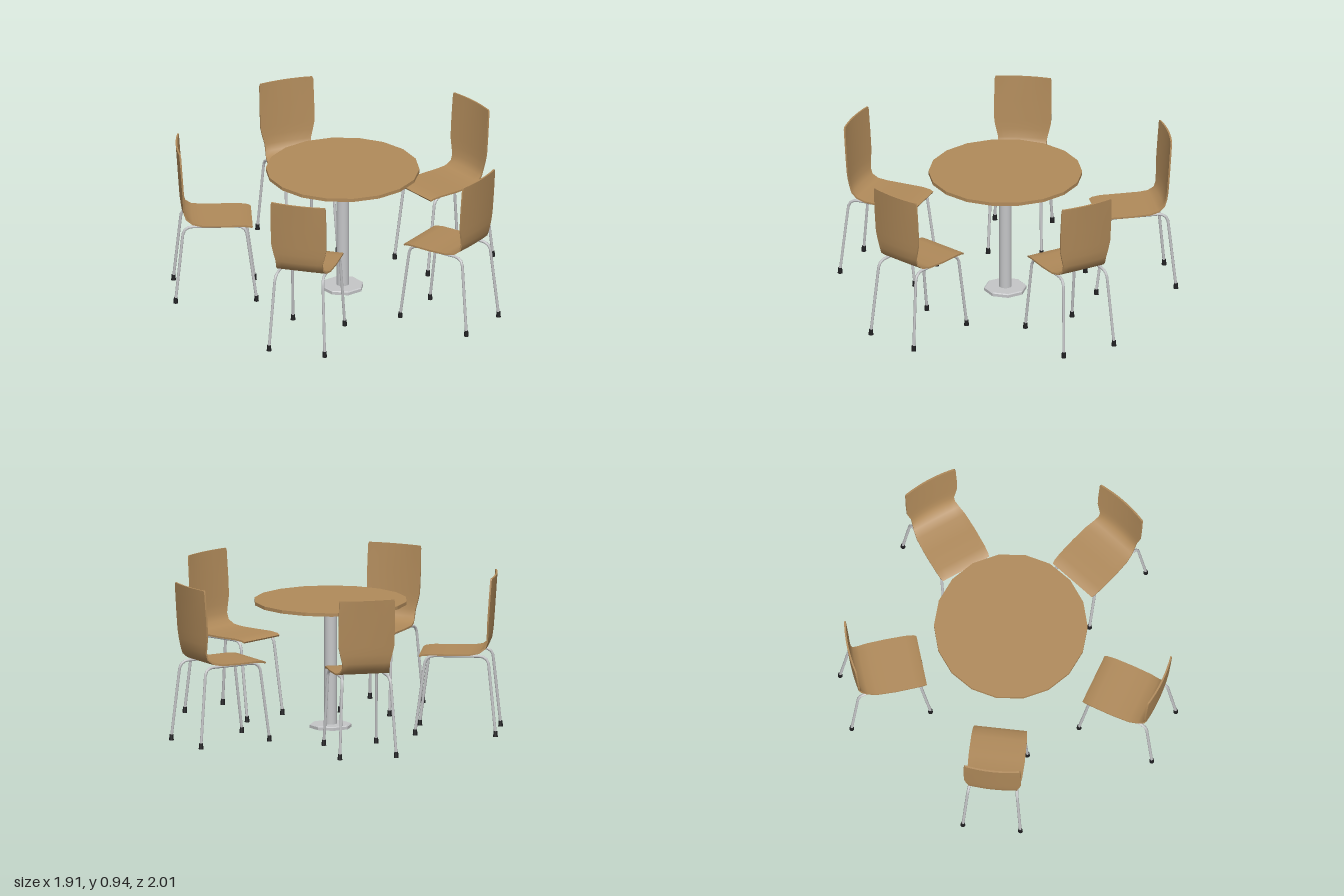
import * as THREE from 'three';
import { toCreasedNormals } from 'three/addons/utils/BufferGeometryUtils.js';

const material = (name, color, side = THREE.FrontSide) => {
  const m = new THREE.MeshStandardMaterial({ color, side });
  m.name = name;
  return m;
};

function mesh(name, geometry, mat, x = 0, y = 0, z = 0) {
  const m = new THREE.Mesh(geometry, mat);
  m.name = name;
  m.position.set(x, y, z);
  return m;
}

const V = (x, y, z) => new THREE.Vector3(x, y, z);

// One bent plywood sheet: seat and back swept along a side profile
function shellGeometry() {
  // distance from table axis, height, half width, forward bow of the edges
  const stations = [
    [0.532, 0.472, 0.155, 0], [0.55, 0.481, 0.16, 0], [0.60, 0.486, 0.164, 0],
    [0.72, 0.485, 0.166, 0], [0.83, 0.487, 0.162, 0], [0.885, 0.497, 0.152, 0.002],
    [0.922, 0.522, 0.143, 0.006], [0.938, 0.56, 0.143, 0.01], [0.945, 0.61, 0.156, 0.013],
    [0.949, 0.66, 0.167, 0.015], [0.957, 0.78, 0.169, 0.015], [0.967, 0.925, 0.167, 0.015],
    [0.968, 0.938, 0.162, 0.015],
  ];
  const cols = 8, thick = 0.01, n = (cols + 1) * 2;
  const pos = [], index = [];
  stations.forEach(([r, y, w, bow], i) => {
    const a = stations[Math.max(i - 1, 0)], b = stations[Math.min(i + 1, stations.length - 1)];
    const len = Math.hypot(b[0] - a[0], b[1] - a[1]);
    const nx = (b[1] - a[1]) / len * thick, ny = -(b[0] - a[0]) / len * thick;
    for (let j = 0; j < n; j++) {
      const under = j > cols;
      const t = (under ? n - 1 - j : j) / cols * 2 - 1;
      pos.push(r - bow * t * t + (under ? nx : 0), y + (under ? ny : 0), w * t);
    }
  });
  const quad = (a, b, c, d) => index.push(a, b, c, a, c, d);
  for (let i = 0; i < stations.length - 1; i++) {
    for (let j = 0; j < n; j++) {
      const k = (j + 1) % n;
      quad(i * n + j, i * n + k, (i + 1) * n + k, (i + 1) * n + j);
    }
  }
  // End edges of the sheet
  const last = (stations.length - 1) * n;
  for (let j = 0; j < cols; j++) {
    quad(j, n - 1 - j, n - 2 - j, j + 1);
    quad(last + j, last + j + 1, last + n - 2 - j, last + n - 1 - j);
  }
  const g = new THREE.BufferGeometry();
  g.setAttribute('position', new THREE.Float32BufferAttribute(pos, 3));
  g.setIndex(index);
  return toCreasedNormals(g, 0.7);
}

// Front leg, seat rail and back leg bent from a single tube
function legGeometry(side) {
  const p = [
    V(0.511, 0.02, 0.157 * side), V(0.566, 0.425, 0.146 * side), V(0.573, 0.471, 0.143 * side),
    V(0.625, 0.471, 0.138 * side), V(0.885, 0.471, 0.138 * side), V(0.935, 0.471, 0.143 * side),
    V(0.942, 0.425, 0.147 * side), V(0.984, 0.02, 0.169 * side),
  ];
  const path = new THREE.CurvePath();
  path.add(new THREE.LineCurve3(p[0], p[1]));
  path.add(new THREE.QuadraticBezierCurve3(p[1], p[2], p[3]));
  path.add(new THREE.LineCurve3(p[3], p[4]));
  path.add(new THREE.QuadraticBezierCurve3(p[4], p[5], p[6]));
  path.add(new THREE.LineCurve3(p[6], p[7]));
  return new THREE.TubeGeometry(path, 48, 0.0085, 8);
}

export function createModel() {
  const wood = material('wood', 0xb08a5a);
  const steel = material('steel', 0xc4c5c7, THREE.DoubleSide);
  const rubber = material('black rubber', 0x1e1e20);

  const model = new THREE.Group();
  model.name = 'tableAndChairs';
  const set = new THREE.Group();
  set.name = 'diningSet';
  set.position.x = -0.045;
  model.add(set);

  // Table
  const table = new THREE.Group();
  table.name = 'table';
  const top = new THREE.CylinderGeometry(0.45, 0.45, 0.02, 18).rotateY(Math.PI / 2);
  table.add(mesh('tableTop', toCreasedNormals(top, 0.2), wood, 0, 0.76, 0));
  table.add(mesh('pedestal', new THREE.CylinderGeometry(0.037, 0.037, 0.735, 20, 1, true), steel, 0, 0.3825, 0));
  const foot = [[0.125, 0.01], [0.125, 0.027], [0.118, 0.032], [0.036, 0.032]];
  const base = new THREE.LatheGeometry(foot.map(([x, y]) => new THREE.Vector2(x, y)), 8);
  table.add(mesh('tableBase', toCreasedNormals(base.rotateY(Math.PI / 8), 0.3), steel));
  set.add(table);

  // Five chairs facing the table
  const shell = shellGeometry();
  const legs = [-1, 1].map(legGeometry);
  const cap = new THREE.CylinderGeometry(0.0115, 0.0145, 0.034, 10);
  for (let k = 0; k < 5; k++) {
    const chair = new THREE.Group();
    chair.name = 'chair' + (k + 1);
    chair.rotation.y = k * Math.PI * 2 / 5;
    chair.add(mesh('seatAndBack', shell, wood));
    legs.forEach((g, i) => {
      const side = i * 2 - 1;
      chair.add(mesh('legFrame', g, steel));
      chair.add(mesh('frontFootCap', cap, rubber, 0.511, 0.017, 0.157 * side));
      chair.add(mesh('backFootCap', cap, rubber, 0.984, 0.017, 0.169 * side));
    });
    set.add(chair);
  }
  return model;
}
